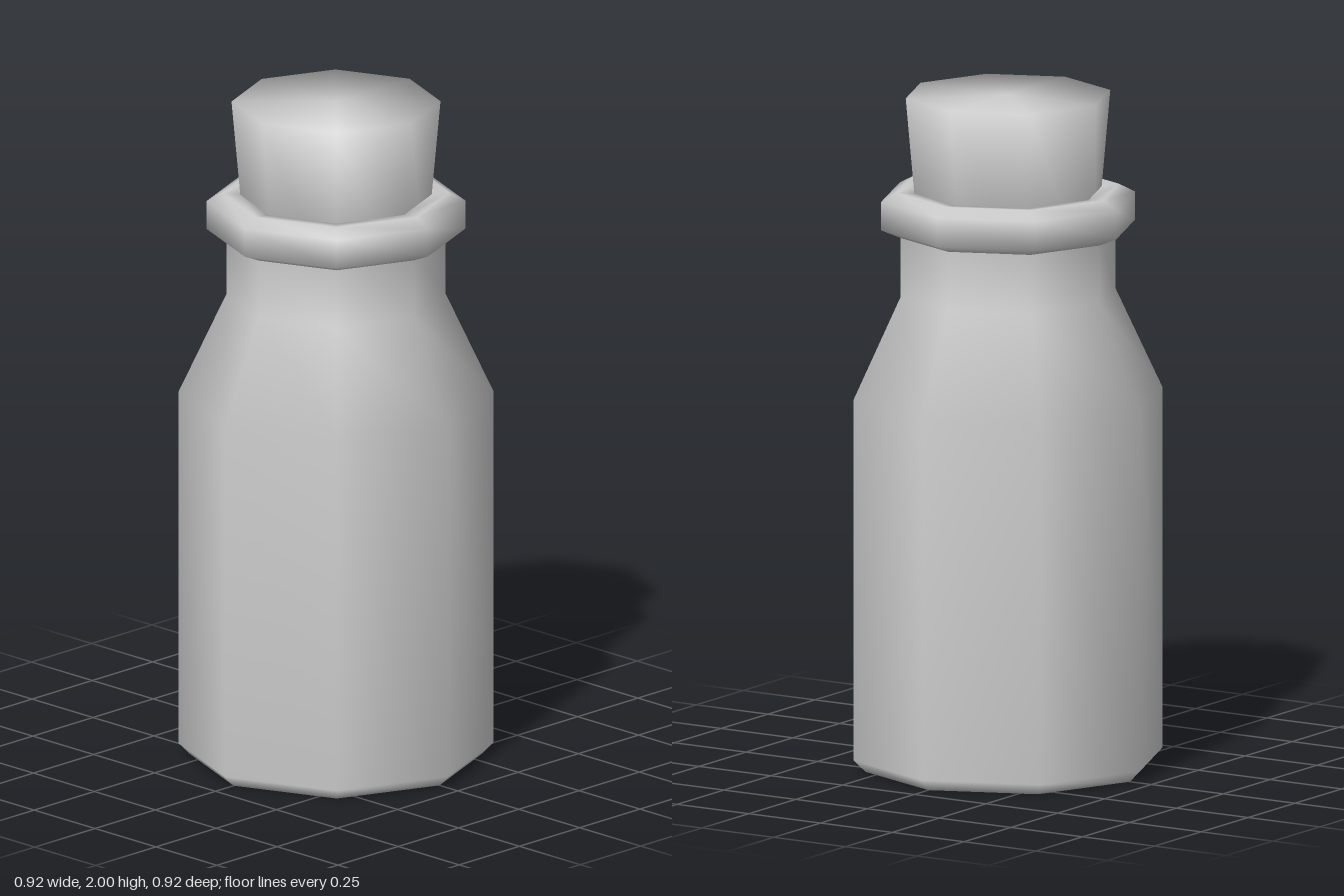
import * as THREE from 'three';

const SIDES = 8;

// Smooth-shaded octagonal solid turned from [radius, height] pairs, bottom to top
function turned(name, profile, material) {
  const points = profile.map(([r, y]) => new THREE.Vector2(r, y));
  const mesh = new THREE.Mesh(new THREE.LatheGeometry(points, SIDES), material);
  mesh.name = name;
  return mesh;
}

export function createModel() {
  const model = new THREE.Group();
  model.name = 'corkedBottle';
  const material = new THREE.MeshStandardMaterial({ color: 0xcccccc });

  // Bevelled base, straight body, sloping shoulder, neck
  model.add(turned('bottleBody', [
    [0, 0], [0.425, 0], [0.46, 0.035], [0.46, 1.11], [0.32, 1.41], [0.32, 1.6],
  ], material));

  // Rounded collar around the mouth, turning down inside the neck
  model.add(turned('bottleRim', [
    [0.3, 1.585], [0.32, 1.585], [0.378, 1.61], [0.378, 1.695],
    [0.33, 1.72], [0.28, 1.715], [0.265, 1.66], [0.265, 1.5],
  ], material));

  // Tapered stopper pushed into the neck
  model.add(turned('cork', [
    [0, 1.5], [0.26, 1.5], [0.305, 2], [0, 2],
  ], material));

  return model;
}
